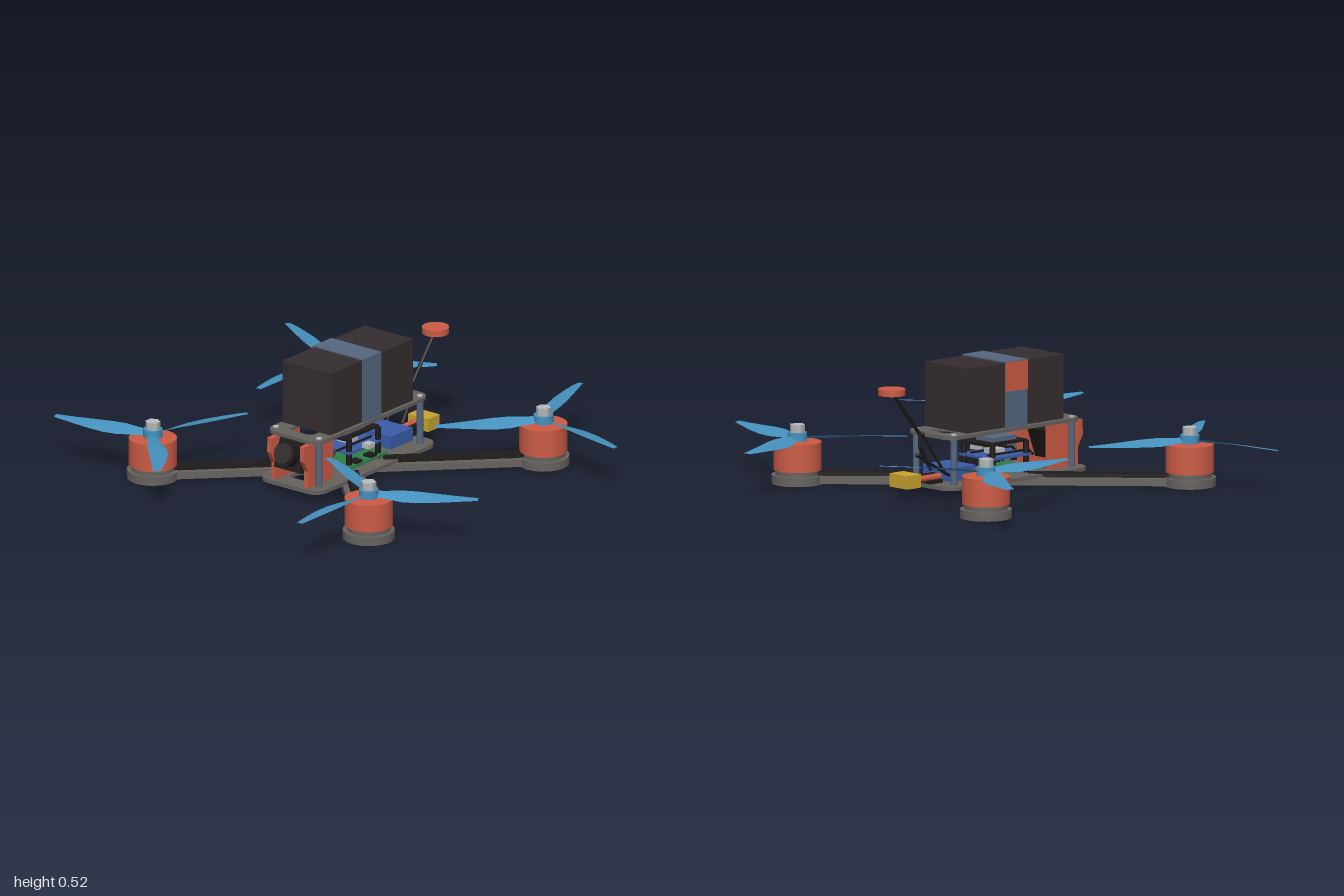
import * as THREE from 'three';

const mat = (name, color, extra = {}) => {
  const m = new THREE.MeshStandardMaterial({ color, ...extra });
  m.name = name;
  return m;
};

export function createModel() {
  const M = {
    carbon: mat('carbon grey', 0x66625e),
    black: mat('black', 0x1e1b1a),
    red: mat('coral red', 0xcc5b45),
    blade: mat('propeller blue', 0x4592c0, { side: THREE.DoubleSide }),
    slate: mat('slate blue', 0x55677f),
    steel: mat('steel', 0xb8bcbc),
    yellow: mat('yellow', 0xc9a42e),
    blue: mat('board blue', 0x3a5ca8),
    green: mat('board green', 0x2f7d47),
    battery: mat('battery brown', 0x352d2f),
  };
  const model = new THREE.Group();
  model.name = 'racingQuadcopter';

  const add = (name, geo, material, x = 0, y = 0, z = 0, parent = model) => {
    const m = new THREE.Mesh(geo, material);
    m.name = name;
    m.position.set(x, y, z);
    parent.add(m);
    return m;
  };
  // Box given by its limits on each axis
  const box = (name, material, x0, x1, y0, y1, z0, z1, parent) =>
    add(name, new THREE.BoxGeometry(x1 - x0, y1 - y0, z1 - z0), material,
      (x0 + x1) / 2, (y0 + y1) / 2, (z0 + z1) / 2, parent);
  // Upright cylinder from y0 to y1
  const post = (name, material, r, y0, y1, x, z, sides = 20, parent, rTop = r) =>
    add(name, new THREE.CylinderGeometry(rTop, r, y1 - y0, sides), material, x, (y0 + y1) / 2, z, parent);
  // Bent wire or rod through points
  const wire = (name, material, r, pts) => {
    const path = new THREE.CurvePath();
    const v = pts.map(p => new THREE.Vector3(...p));
    for (let i = 1; i < v.length; i++) path.add(new THREE.LineCurve3(v[i - 1], v[i]));
    return add(name, new THREE.TubeGeometry(path, 12 * (v.length - 1), r, 8), material);
  };

  // Frame plates with rounded corners and lightening slots
  const rounded = (path, cx, cy, w, h, r) => {
    const x = w / 2 - r, y = h / 2 - r;
    path.absarc(cx + x, cy + y, r, 0, Math.PI / 2);
    path.absarc(cx - x, cy + y, r, Math.PI / 2, Math.PI);
    path.absarc(cx - x, cy - y, r, Math.PI, Math.PI * 1.5);
    path.absarc(cx + x, cy - y, r, Math.PI * 1.5, Math.PI * 2);
    path.closePath();
    return path;
  };
  const plate = (name, w, h, r, y0, y1) => {
    const shape = rounded(new THREE.Shape(), 0, 0, w, h, r);
    for (const s of [-1, 1]) shape.holes.push(rounded(new THREE.Path(), 0, s * 0.265, 0.12, 0.09, 0.025));
    const g = new THREE.ExtrudeGeometry(shape, { depth: y1 - y0, bevelEnabled: false, curveSegments: 6 });
    g.rotateX(-Math.PI / 2);
    add(name, g, M.carbon, 0, y0, -0.013);
  };
  plate('bottomPlate', 0.32, 0.78, 0.06, 0.032, 0.048);
  plate('topPlate', 0.27, 0.73, 0.05, 0.235, 0.25);

  // Corner standoffs with screw heads
  for (const x of [-0.112, 0.112]) for (const z of [0.31, -0.337]) {
    post('standoff', M.slate, 0.014, 0.048, 0.235, x, z, 12);
    post('standoffScrew', M.steel, 0.012, 0.25, 0.256, x, z, 8);
  }

  // Three-blade propeller: one twisted sheet per blade, dir sets the handedness
  const stations = [ // radius, width, sideways bow, pitch
    [0.02, 0.035, 0, 0.42], [0.08, 0.052, 0.004, 0.38], [0.14, 0.078, 0.01, 0.3], [0.2, 0.085, 0.013, 0.24],
    [0.28, 0.073, 0.012, 0.18], [0.36, 0.052, 0.007, 0.13], [0.42, 0.036, 0.002, 0.1], [0.447, 0.026, -0.002, 0.08],
  ];
  const bladeGeometry = dir => {
    const pos = [], idx = [];
    stations.forEach(([r, w, bow, pitch], i) => {
      for (const s of [-1, 0, 1]) {
        const t = s * w / 2;
        pos.push(r, -t * Math.sin(pitch) + (s ? 0 : 0.002), dir * (bow + t * Math.cos(pitch)));
      }
      if (i) for (const k of [0, 1]) {
        const a = 3 * (i - 1) + k, b = a + 3;
        if (dir > 0) idx.push(a, a + 1, b, b, a + 1, b + 1);
        else idx.push(a, b, a + 1, b, b + 1, a + 1);
      }
    });
    const g = new THREE.BufferGeometry();
    g.setAttribute('position', new THREE.Float32BufferAttribute(pos, 3));
    g.setIndex(idx);
    g.computeVertexNormals();
    return g;
  };
  const blades = { 1: bladeGeometry(1), [-1]: bladeGeometry(-1) };

  // Arms, motors and propellers: x, z, handedness, first blade angle
  const corners = [[0.56, 0.545, 1, 90], [-0.56, 0.545, -1, 49], [0.56, -0.575, -1, 10], [-0.56, -0.575, 1, 90]];
  for (const [x, z, dir, angle] of corners) {
    const arm = new THREE.Group();
    arm.name = 'arm';
    arm.position.z = -0.015;
    arm.rotation.y = -Math.atan2(z + 0.015, x);
    model.add(arm);
    box('armBeam', M.carbon, 0, 0.79, 0.004, 0.034, -0.05, 0.05, arm);
    box('armTopStrip', M.black, 0.14, 0.71, 0.034, 0.05, -0.027, 0.027, arm);
    box('armUnderStrip', M.black, 0, 0.68, 0.001, 0.004, -0.03, 0.03, arm);

    const motor = new THREE.Group();
    motor.name = 'motor';
    motor.position.set(x, 0, z);
    model.add(motor);
    post('motorMount', M.carbon, 0.106, 0, 0.036, 0, 0, 20, motor);
    post('motorBase', M.carbon, 0.088, 0.036, 0.058, 0, 0, 20, motor);
    post('motorBell', M.red, 0.098, 0.056, 0.17, 0, 0, 20, motor);
    post('motorShaft', M.steel, 0.02, 0.168, 0.178, 0, 0, 12, motor);
    post('propellerHub', M.blade, 0.04, 0.174, 0.208, 0, 0, 12, motor);
    post('propellerNut', M.steel, 0.031, 0.208, 0.24, 0, 0, 6, motor);
    for (let i = 0; i < 3; i++) {
      const b = add('propellerBlade', blades[dir], M.blade, 0, 0.187, 0, motor);
      b.rotation.y = -(angle + i * 120) * Math.PI / 180;
    }
  }

  // Battery, strap and red buckle patch
  box('battery', M.battery, -0.125, 0.125, 0.253, 0.517, -0.277, 0.253);
  box('batteryStrap', M.slate, -0.13, 0.13, 0.25, 0.522, -0.068, 0.05);
  box('strapPatch', M.red, -0.134, -0.129, 0.4, 0.518, -0.068, 0.05);

  // Camera between two red side plates with slanted fronts
  const side = new THREE.Shape([[0.2, 0.048], [0.36, 0.048], [0.36, 0.12], [0.388, 0.17], [0.385, 0.232], [0.2, 0.232]]
    .map(p => new THREE.Vector2(-p[0], p[1])));
  const sideGeo = new THREE.ExtrudeGeometry(side, { depth: 0.02, bevelEnabled: false });
  sideGeo.rotateY(Math.PI / 2).translate(-0.01, 0, 0);
  for (const x of [-0.085, 0.085]) add('cameraSidePlate', sideGeo, M.red, x);
  const camera = new THREE.Group();
  camera.name = 'camera';
  camera.position.set(0, 0.155, 0.31);
  camera.rotation.x = -0.35;
  model.add(camera);
  box('cameraBody', M.black, -0.068, 0.068, -0.065, 0.065, -0.06, 0.05, camera);
  const barrel = [[0.052, 0.05, 0.02, 0.07, M.black, 'lensBarrel'], [0.042, 0.042, 0.004, 0.09, M.battery, 'lensGlass']];
  for (const [r1, r2, h, z, m, name] of barrel)
    add(name, new THREE.CylinderGeometry(r1, r2, h + 0.02, 20), m, 0, 0, z, camera).rotation.x = Math.PI / 2;

  // Electronics stack
  box('powerBoard', M.green, -0.11, 0.11, 0.06, 0.07, -0.13, 0.115);
  box('flightBoard', M.blue, -0.1, 0.1, 0.118, 0.128, -0.115, 0.1);
  box('processor', M.steel, -0.03, 0.03, 0.128, 0.148, -0.04, 0.02);
  box('topModule', M.black, -0.075, 0.075, 0.172, 0.182, -0.12, 0.1);
  box('topModuleChip', M.slate, -0.05, 0.05, 0.182, 0.2, -0.065, 0.065);
  for (const x of [-0.085, 0.085]) for (const z of [-0.1, 0.085]) {
    post('stackPost', M.black, 0.012, 0.048, 0.18, x, z, 8);
    box('powerChip', M.black, x - 0.02, x + 0.02, 0.07, 0.08, z * 0.5 - 0.02, z * 0.5 + 0.02);
  }
  for (const x of [-0.05, 0.05])
    wire('boardWire', M.black, 0.005, [[x, 0.132, -0.1], [x, 0.132, 0.13], [x, 0.11, 0.155]]);
  box('usbSocket', M.steel, 0.1, 0.135, 0.128, 0.148, -0.02, 0.02);

  // Rear modules, battery leads and connector
  box('videoTransmitter', M.blue, -0.08, 0.08, 0.055, 0.11, -0.33, -0.19);
  box('transmitterCap', M.black, -0.04, 0.04, 0.048, 0.062, -0.4, -0.33);
  wire('redLead', M.red, 0.013, [[-0.019, 0.072, -0.1], [-0.019, 0.072, -0.47]]);
  wire('blackLead', M.black, 0.013, [[0.015, 0.072, -0.1], [0.015, 0.072, -0.47]]);
  box('batteryConnector', M.yellow, -0.055, 0.05, 0.045, 0.1, -0.54, -0.465);

  // Antennas
  wire('antennaMast', M.black, 0.008, [[0, 0.1, -0.36], [0, 0.2, -0.42], [0, 0.25, -0.42], [0, 0.43, -0.565]]);
  post('antennaCap', M.red, 0.055, 0.43, 0.456, 0, -0.575, 24);
  for (const [a, b] of [[[-0.108, 0.09, -0.36], [-0.125, 0.195, -0.55]], [[-0.075, 0.09, -0.35], [-0.056, 0.265, -0.46]]]) {
    wire('whipAntenna', M.black, 0.006, [a, b]);
    add('whipTip', new THREE.SphereGeometry(0.009, 10, 8), M.black, ...b);
  }
  return model;
}
